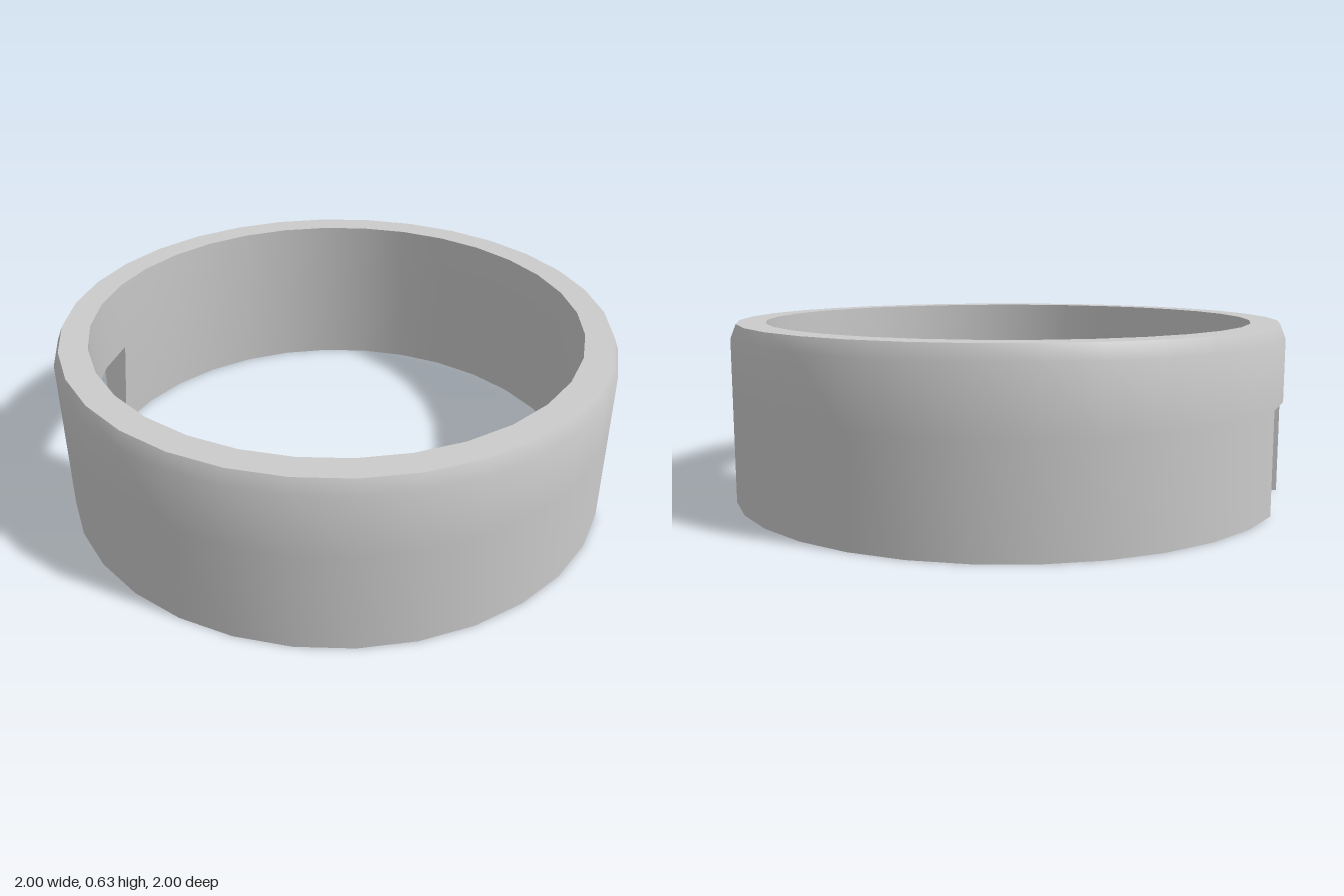
import * as THREE from 'three';
import { mergeGeometries, toCreasedNormals } from 'three/addons/utils/BufferGeometryUtils.js';

const STEP = Math.PI / 16; // one of the 32 sides
const NOTCH_TOP = 0.36;

const points = (list) => list.map(([r, y]) => new THREE.Vector2(r, y));

// Radial end face of a wall; flip turns it to face the other way
function endFace(profile, angle, flip) {
  const s = flip ? -1 : 1;
  const shape = new THREE.Shape(profile.map((p) => new THREE.Vector2(p.x * s, p.y)));
  return new THREE.ShapeGeometry(shape).rotateY(angle - s * Math.PI / 2);
}

export function createModel() {
  const group = new THREE.Group();

  // Cross-sections: (radius, height), up the outside and down the inside
  const upper = [[1, 0.58], [0.98, 0.63], [0.88, 0.63], [0.893, NOTCH_TOP]];
  const wall = points([[1, 0], [1, NOTCH_TOP], ...upper, [0.93, 0], [1, 0]]);
  const bridge = points([[1, NOTCH_TOP], ...upper, [1, NOTCH_TOP]]);
  const notchSide = points([[1, 0], [1, NOTCH_TOP], [0.893, NOTCH_TOP], [0.93, 0]]);

  // Two long walls, joined above the side notches by two short bridges
  const parts = [];
  for (const side of [Math.PI / 2, Math.PI * 1.5]) {
    const start = side + STEP;
    const length = 14 * STEP;
    parts.push(
      new THREE.LatheGeometry(bridge, 2, side - STEP, 2 * STEP),
      new THREE.LatheGeometry(wall, 14, start, length),
      endFace(notchSide, start, false),
      endFace(notchSide, start + length, true)
    );
  }

  const ring = new THREE.Mesh(
    toCreasedNormals(mergeGeometries(parts), 0.5),
    new THREE.MeshStandardMaterial({ color: 0xcccccc })
  );
  ring.name = 'notchedRing';
  group.add(ring);
  return group;
}
